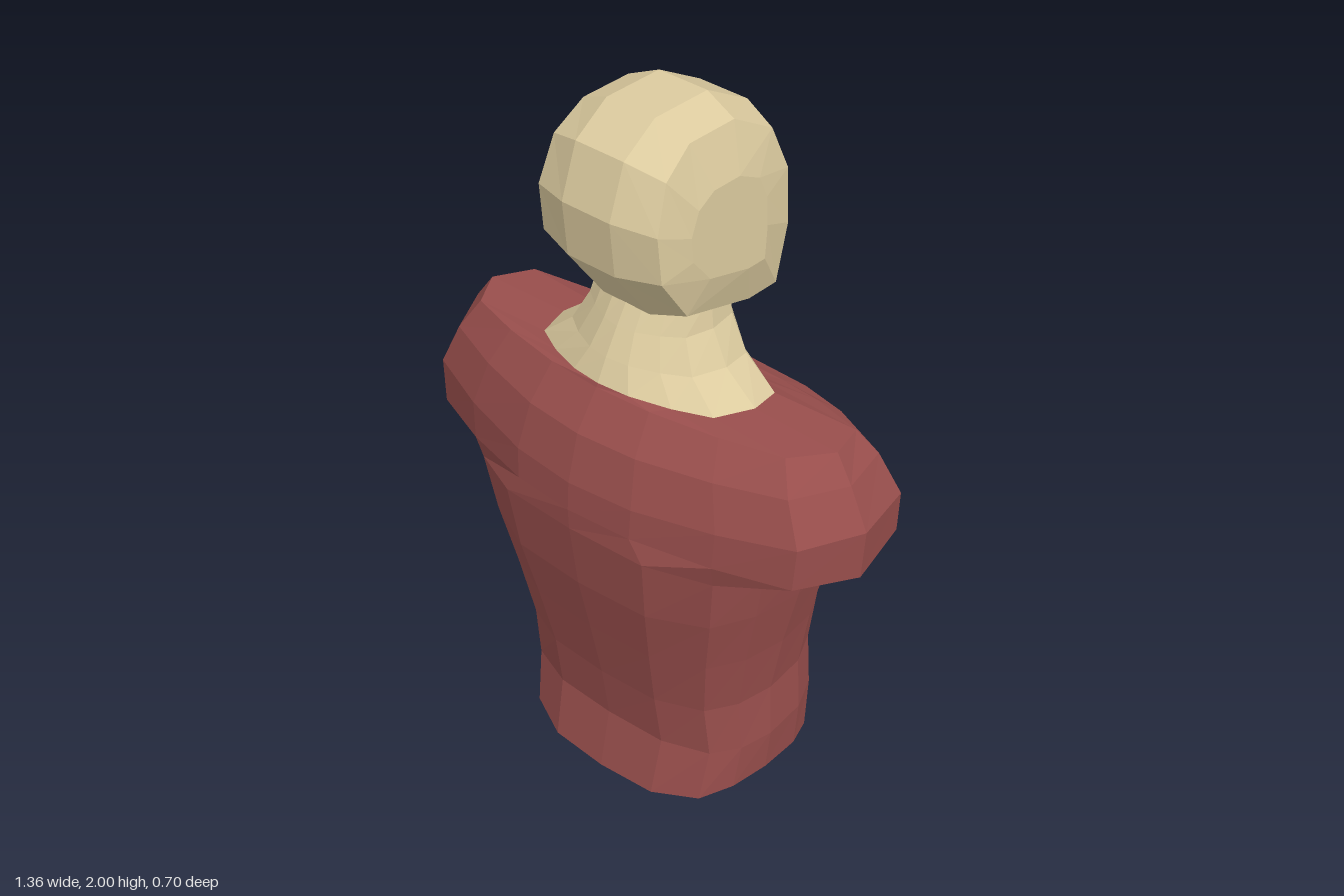
import * as THREE from 'three';

const shirt = new THREE.MeshStandardMaterial({ color: 0x9a4f4d, flatShading: true });
const skin = new THREE.MeshStandardMaterial({ color: 0xdccb9f, flatShading: true });

// Skin over a stack of closed rings of [x, y, z]; both ends get a fan cap.
function loft(name, rings, material) {
  const n = rings[0].length;
  const verts = rings.flat();
  const index = [];
  for (let i = 0; i < rings.length - 1; i++) {
    for (let j = 0; j < n; j++) {
      const a = i * n + j, b = i * n + (j + 1) % n;
      index.push(a, b, b + n, a, b + n, a + n);
    }
  }
  const cap = (ring, start, flip) => {
    const mid = [0, 1, 2].map((e) => ring.reduce((s, p) => s + p[e], 0) / n);
    const m = verts.push(mid) - 1;
    for (let j = 0; j < n; j++) {
      const a = start + j, b = start + (j + 1) % n;
      if (flip) index.push(m, b, a); else index.push(m, a, b);
    }
  };
  cap(rings[0], 0, true);
  cap(rings[rings.length - 1], (rings.length - 1) * n, false);
  const geo = new THREE.BufferGeometry();
  geo.setAttribute('position', new THREE.Float32BufferAttribute(verts.flat(), 3));
  geo.setIndex(index);
  geo.computeVertexNormals();
  const mesh = new THREE.Mesh(geo, material);
  mesh.name = name;
  return mesh;
}

// Half outlines [x, z] from front centre round to back centre, in unit size
const boxy = [[0, 1], [0.48, 0.96], [0.82, 0.74], [0.95, 0.4], [1, -0.03],
  [0.96, -0.42], [0.83, -0.72], [0.48, -0.94], [0, -1]];
const broad = [[0, 1], [0.28, 0.95], [0.6, 0.78], [0.88, 0.56], [1, 0.1],
  [0.935, -0.47], [0.63, -0.82], [0.4, -0.96], [0, -1]];

// Mirrored ring: half width, front and back depth, heights at side, front and back.
function ring(outline, [w, front, back, ySide, yFront, yBack]) {
  const half = outline.map(([x, z]) => [
    x * w,
    THREE.MathUtils.lerp(ySide, z > 0 ? yFront : yBack, z * z),
    z * (z > 0 ? front : back),
  ]);
  return [...half, ...half.slice(1, -1).reverse().map(([x, y, z]) => [-x, y, z])];
}

const neckline = ring(broad, [0.32, 0.235, 0.16, 1.265, 1.3, 1.2]);

function makeTorso() {
  // hem to armpit
  const trunk = [
    [0.36, 0.25, 0.35, 0.09, 0.05, 0],
    [0.375, 0.215, 0.345, 0.22, 0.22, 0.2],
    [0.37, 0.24, 0.335, 0.38, 0.38, 0.37],
    [0.405, 0.28, 0.33, 0.56, 0.56, 0.55],
    [0.45, 0.32, 0.335, 0.74, 0.73, 0.73],
    [0.48, 0.347, 0.342, 0.87, 0.92, 0.92],
  ];
  // underside of the arm stubs to the top of the shoulders
  const shoulders = [
    [0.67, 0.35, 0.345, 0.94, 0.98, 0.98],
    [0.68, 0.345, 0.335, 1.08, 1.06, 1.03],
    [0.625, 0.31, 0.27, 1.19, 1.19, 1.15],
    [0.575, 0.24, 0.2, 1.26, 1.29, 1.19],
  ];
  return loft('torso', [
    ...trunk.map((r) => ring(boxy, r)),
    ...shoulders.map((r) => ring(broad, r)),
    neckline,
  ], shirt);
}

function makeNeck() {
  const rows = [
    [0.225, 0.205, 0.15, 1.34, 1.36, 1.3],
    [0.178, 0.165, 0.14, 1.43, 1.43, 1.43],
    [0.165, 0.11, 0.14, 1.52, 1.52, 1.52],
  ];
  return loft('neck', [neckline, ...rows.map((r) => ring(broad, r))], skin);
}

// Head: side profile [z, y] stacked across x, shrinking towards the flat cheeks
function makeHead() {
  const profile = [
    [-0.15, 1.4], [-0.268, 1.4], [-0.282, 1.6], [-0.272, 1.78], [-0.215, 1.92], [-0.07, 2],
    [0.11, 2], [0.215, 1.93], [0.265, 1.79], [0.25, 1.64], [0.13, 1.48],
  ];
  const cz = -0.01, cy = 1.7;
  const section = (side, sz, sy, xAt) => profile.map(([z, y]) =>
    [side * xAt(y), cy + (y - cy) * sy, cz + (z - cz) * sz]);
  const edge = (y) => 0.19 - 0.025 * ((y - cy) / 0.3) ** 2;
  const half = (side) => [
    section(side, 1, 1, () => 0.075),
    section(side, 0.86, 0.87, edge),
    section(side, 0.5, 0.45, () => 0.204),
  ];
  return loft('head', [...half(-1).reverse(), ...half(1)], skin);
}

export function createModel() {
  const group = new THREE.Group();
  group.name = 'bust';
  group.add(makeTorso(), makeNeck(), makeHead());
  return group;
}
